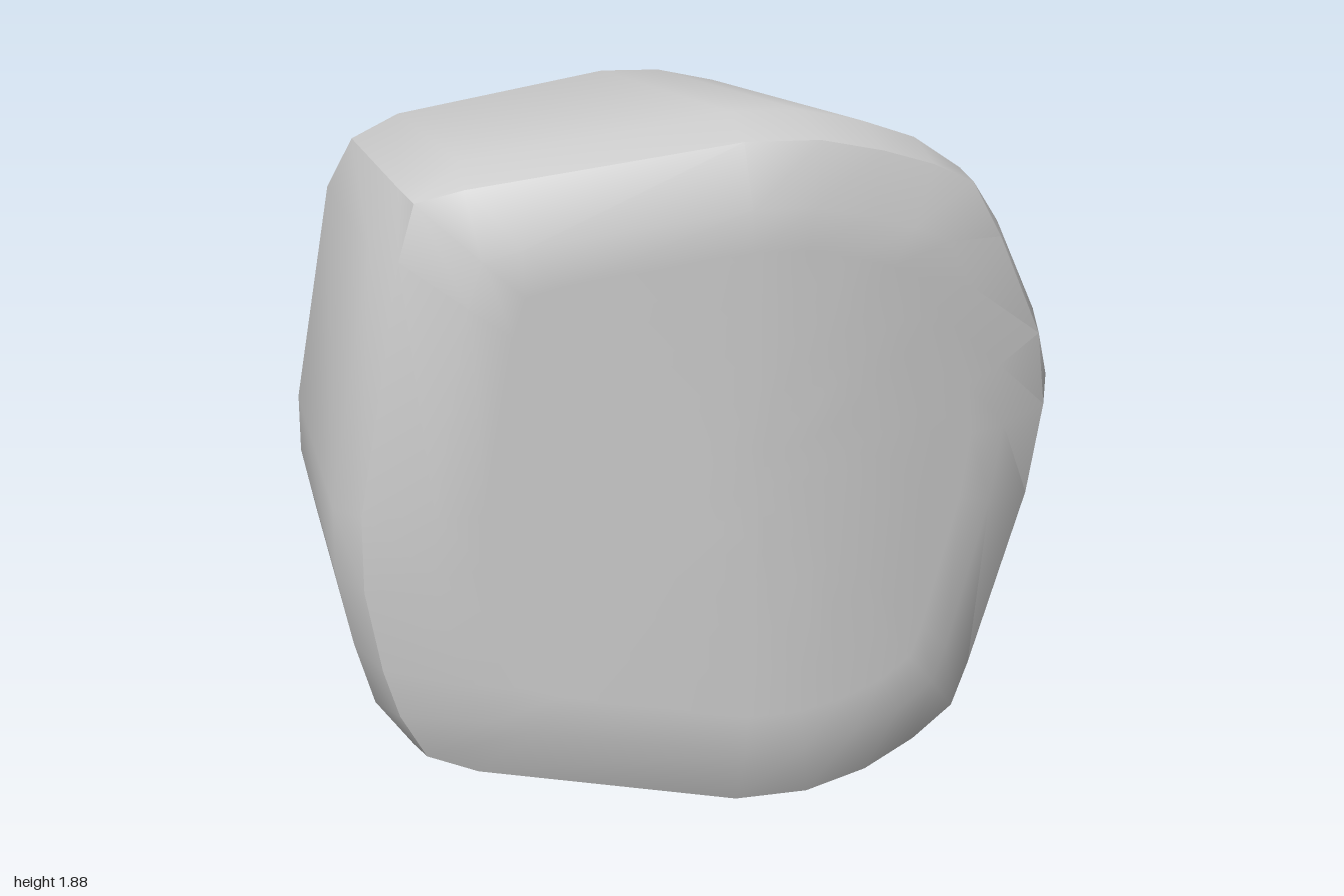
import * as THREE from 'three';
import { toCreasedNormals } from 'three/addons/utils/BufferGeometryUtils.js';

// Outline, counter-clockwise: [wall x, wall y, rim x, rim y, rim z]
const OUTLINE = [
  [0.03, 0.00, 0.02, 0.06, 0.88], [0.22, 0.00, 0.22, 0.06, 0.88],
  [0.40, 0.035, 0.40, 0.09, 0.85], [0.56, 0.09, 0.56, 0.14, 0.80],
  [0.71, 0.19, 0.69, 0.21, 0.76], [0.80, 0.34, 0.74, 0.33, 0.75],
  [0.98, 0.94, 0.89, 0.82, 0.75], [1.00, 1.12, 0.93, 1.07, 0.75],
  [0.95, 1.31, 0.905, 1.27, 0.75], [0.83, 1.56, 0.78, 1.54, 0.75],
  [0.71, 1.71, 0.69, 1.69, 0.76], [0.56, 1.80, 0.56, 1.745, 0.80],
  [0.40, 1.85, 0.40, 1.79, 0.85], [0.22, 1.885, 0.22, 1.825, 0.88],
  [0.03, 1.885, 0.02, 1.825, 0.88], [-0.65, 1.77, -0.66, 1.715, 0.77],
  [-0.80, 1.70, -0.78, 1.68, 0.73], [-0.88, 1.55, -0.825, 1.54, 0.75],
  [-1.00, 0.88, -0.94, 0.89, 0.75], [-1.00, 0.70, -0.94, 0.69, 0.75],
  [-0.96, 0.50, -0.90, 0.47, 0.75], [-0.91, 0.33, -0.86, 0.34, 0.75],
  [-0.81, 0.19, -0.79, 0.21, 0.73], [-0.66, 0.12, -0.66, 0.17, 0.77],
];

// Bulge of the front and back faces across x
const BULGE = [[-0.8, 0.82], [0.03, 0.945], [0.22, 0.945], [0.42, 0.92], [0.76, 0.84]];
function bulgeAt(x) {
  let i = 0;
  while (i < BULGE.length - 2 && x > BULGE[i + 1][0]) i++;
  const [x0, z0] = BULGE[i], [x1, z1] = BULGE[i + 1];
  return z0 + (z1 - z0) * (x - x0) / (x1 - x0);
}

const CENTRE = [0.05, 0.94];

// Rings of one end, from the face centre out to the side wall
function endRings(sign) {
  const rings = [0, 0.14, 0.28, 0.42, 0.56, 0.7, 0.82].map(s => OUTLINE.map(p => {
    const x = CENTRE[0] + (p[2] - CENTRE[0]) * s;
    const y = CENTRE[1] + (p[3] - CENTRE[1]) * s;
    return [x, y, sign * bulgeAt(x)];
  }));
  rings.push(OUTLINE.map(p => [p[2], p[3], sign * p[4]]));
  rings.push(OUTLINE.map(p => [p[0], p[1], sign * p[4] * 0.82]));
  return rings;
}

export function createModel() {
  const group = new THREE.Group();
  group.name = 'roundedBlock';

  // Skin the rings from back to front
  const rings = [...endRings(-1), ...endRings(1).reverse()];
  const n = OUTLINE.length, last = rings.length - 2;
  const index = [];
  for (let i = 0; i <= last; i++) {
    for (let j = 0; j < n; j++) {
      const k = (j + 1) % n;
      const a = i * n + j, b = i * n + k, c = b + n, d = a + n;
      if (i > 0) index.push(a, b, c);
      else index.push(a, c, d);
      if (i > 0 && i < last) index.push(a, c, d);
    }
  }
  const geometry = new THREE.BufferGeometry();
  geometry.setAttribute('position', new THREE.Float32BufferAttribute(rings.flat(2), 3));
  geometry.setIndex(index);

  const block = new THREE.Mesh(
    toCreasedNormals(geometry, THREE.MathUtils.degToRad(31)),
    new THREE.MeshStandardMaterial({ color: 0xcccccc })
  );
  block.name = 'block';
  group.add(block);
  return group;
}
